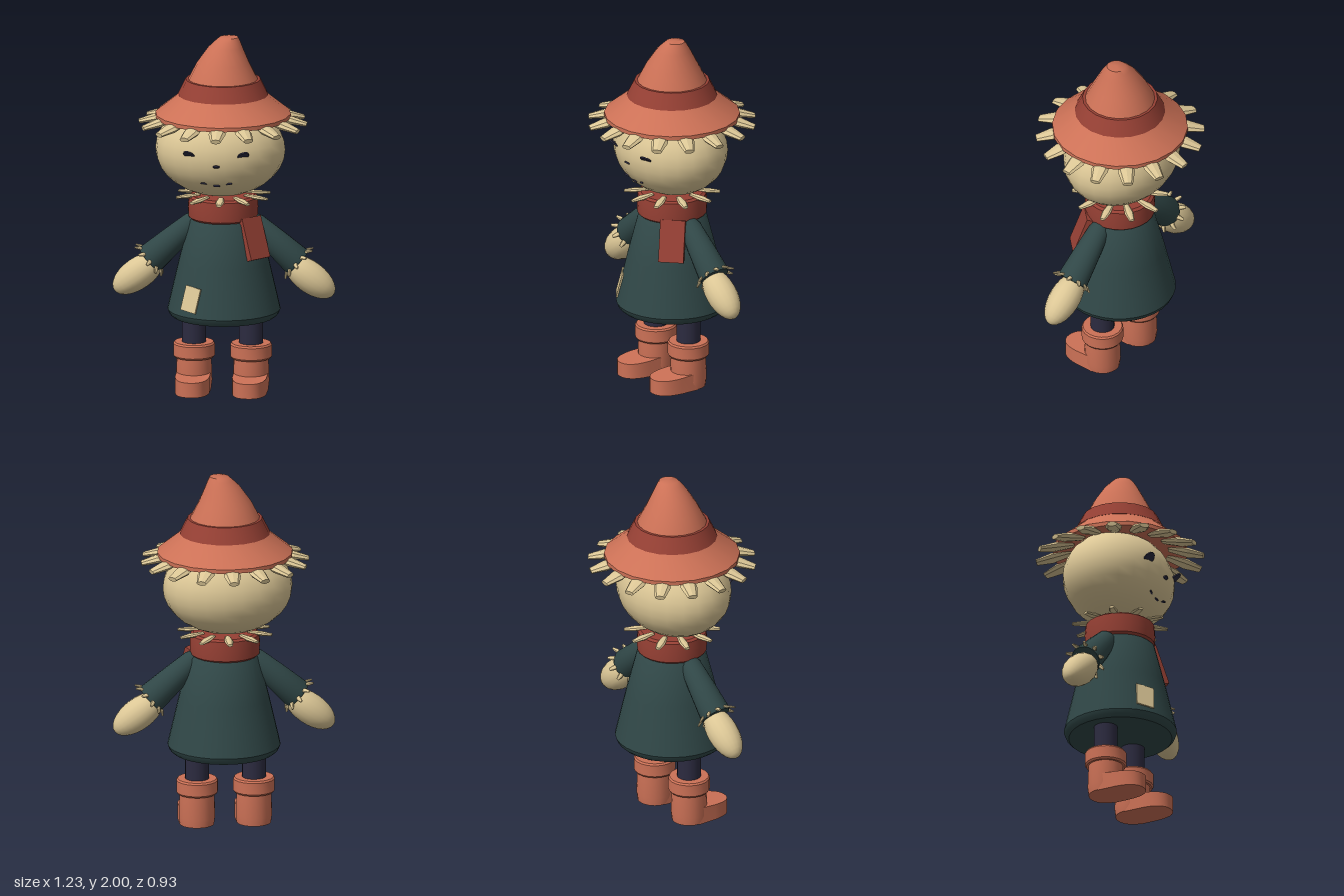
import * as THREE from 'three';
import { toCreasedNormals } from 'three/addons/utils/BufferGeometryUtils.js';

const flat = (name, color) => {
  const m = new THREE.MeshStandardMaterial({ color });
  m.name = name;
  return m;
};

export function createModel() {
  const straw = flat('straw', 0xdcc796);
  const felt = flat('orange felt', 0xcc7156);
  const red = flat('red wool', 0x964034);
  const coat = flat('dark teal cloth', 0x304747);
  const navy = flat('navy', 0x2c2b40);

  const model = new THREE.Group();
  const add = (parent, name, geo, mat, x = 0, y = 0, z = 0) => {
    const mesh = new THREE.Mesh(geo, mat);
    mesh.name = name;
    mesh.position.set(x, y, z);
    parent.add(mesh);
    return mesh;
  };
  const group = (parent, name, x = 0, y = 0, z = 0) => {
    const g = new THREE.Group();
    g.name = name;
    g.position.set(x, y, z);
    parent.add(g);
    return g;
  };
  const lathe = (pts, seg = 20) => toCreasedNormals(
    new THREE.LatheGeometry(pts.map(p => new THREE.Vector2(...p)), seg), 0.6);

  // A straw tuft runs along +z: narrow root, wide middle, blunt tip
  const tuftGeo = lathe([[0, 0], [0.3, 0], [0.5, 0.55], [0.3, 1], [0, 1]], 8);
  tuftGeo.rotateX(Math.PI / 2);
  const tuftRing = (parent, name, count, radius, y, tilt, width, thick, length) => {
    const ring = group(parent, name, 0, y, 0);
    for (let i = 0; i < count; i++) {
      const spoke = group(ring, 'tuftSpoke');
      spoke.rotation.y = i / count * Math.PI * 2;
      const t = add(spoke, 'tuft', tuftGeo, straw, 0, 0, radius);
      t.scale.set(width, thick, length);
      t.rotation.x = tilt;
    }
    return ring;
  };

  // Head
  const head = group(model, 'head', -0.02, 1.365, 0);
  const R = new THREE.Vector3(0.36, 0.265, 0.295);
  add(head, 'face', new THREE.SphereGeometry(1, 22, 16), straw).scale.copy(R);

  // Thin face plates laid along the head's surface
  const plate = (name, x, y, w, h, turn = 0) => {
    const z = R.z * Math.sqrt(1 - (x / R.x) ** 2 - (y / R.y) ** 2);
    const n = new THREE.Vector3(x / R.x ** 2, y / R.y ** 2, z / R.z ** 2).normalize();
    const geo = new THREE.CylinderGeometry(1, 1, 0.008, 16);
    geo.rotateX(Math.PI / 2);
    geo.scale(w, h, 1);
    geo.rotateZ(turn);
    const p = add(head, name, geo, navy, x, y, z);
    p.lookAt(n.add(p.position));
  };
  for (const s of [-1, 1]) plate('eye', s * 0.15, 0.022, 0.031, 0.044);
  plate('nose', 0.003, -0.037, 0.018, 0.012);
  plate('mouthMiddle', 0.0, -0.158, 0.018, 0.005);
  for (const s of [-1, 1]) plate('mouthEnd', s * 0.07, -0.144, 0.018, 0.005, s * 0.5);

  // Hat: brim, band and a crown whose tip leans to the side
  const hat = group(model, 'hat', -0.005, 0, 0);
  add(hat, 'brim', lathe([[0, 1.58], [0.25, 1.56], [0.375, 1.545], [0.375, 1.568],
    [0.26, 1.66], [0.235, 1.685], [0, 1.69]]), felt);
  add(hat, 'band', lathe([[0, 1.672], [0.25, 1.672], [0.242, 1.69],
    [0.207, 1.76], [0, 1.762]]), red);
  const crown = new THREE.LatheGeometry([[0.2, 1.74], [0.192, 1.76], [0.146, 1.85],
    [0.095, 1.94], [0.07, 1.975], [0.052, 1.997], [0, 2]].map(p => new THREE.Vector2(...p)), 20);
  const cp = crown.attributes.position;
  for (let i = 0; i < cp.count; i++) {
    const bend = Math.max(0, cp.getY(i) - 1.9) / 0.1;
    cp.setX(i, cp.getX(i) + 0.033 * bend);
  }
  crown.computeVertexNormals();
  add(hat, 'crown', toCreasedNormals(crown, 0.9), felt);
  tuftRing(hat, 'hairStraw', 16, 0.27, 1.56, 0.25, 0.095, 0.045, 0.2);

  // Neck straw and scarf
  const neck = group(model, 'neck', -0.005, 0, 0);
  tuftRing(neck, 'collarStraw', 10, 0.13, 1.11, 0.08, 0.05, 0.025, 0.135);
  add(neck, 'scarf', lathe([[0, 0.965], [0.175, 0.97], [0.192, 0.985],
    [0.195, 1.04], [0.19, 1.095], [0.175, 1.106], [0, 1.106]], 24), red);
  const tail = add(model, 'scarfTail', new THREE.BoxGeometry(0.14, 0.235, 0.035),
    red, 0.178, 0.887, 0.125);
  tail.rotation.set(-0.34, 0.82, 0, 'YXZ');

  // Coat with a sewn patch
  add(model, 'coat', lathe([[0, 0.42], [0.285, 0.42], [0.302, 0.435], [0.312, 0.46],
    [0.25, 0.73], [0.19, 0.965], [0.16, 0.995], [0, 1]], 32), coat);
  const patch = add(model, 'patch', new THREE.BoxGeometry(0.105, 0.14, 0.009),
    straw, -0.162, 0.56, 0.241);
  patch.rotation.set(-0.24, -0.595, -0.1, 'YXZ');

  // Boot toe: outline with a rounded front, lying on the ground
  const sole = new THREE.Shape();
  sole.moveTo(-0.095, 0);
  sole.lineTo(0.095, 0);
  sole.lineTo(0.095, -0.11);
  sole.bezierCurveTo(0.09, -0.2, 0.055, -0.24, 0, -0.24);
  sole.bezierCurveTo(-0.055, -0.24, -0.09, -0.2, -0.095, -0.11);
  const toeGeo = new THREE.ExtrudeGeometry(sole, { depth: 0.085, bevelEnabled: false, curveSegments: 8 });
  toeGeo.rotateX(-Math.PI / 2);
  const tp = toeGeo.attributes.position;
  for (let i = 0; i < tp.count; i++) {
    if (tp.getY(i) > 0.05) tp.setY(i, 0.098 - 0.06 * tp.getZ(i));
  }
  const toe = toCreasedNormals(toeGeo, 0.6);

  for (const s of [-1, 1]) {
    const side = s > 0 ? 'left' : 'right';

    // Sleeve, cuff straw and hand
    const arm = group(model, side + 'Arm', s * 0.16, 0.955, 0);
    arm.rotation.z = s * 0.83;
    add(arm, 'sleeve', lathe([[0, -0.34], [0.082, -0.34], [0.086, -0.325], [0.074, -0.17],
      [0.06, -0.02], [0.042, 0.025], [0, 0.045]]), coat);
    tuftRing(arm, 'cuffStraw', 10, 0.065, -0.315, 0.6, 0.028, 0.016, 0.06);
    const hand = add(model, side + 'Hand', new THREE.SphereGeometry(1, 18, 14),
      straw, s * 0.475, 0.645, 0);
    hand.scale.set(0.088, 0.165, 0.085);
    hand.rotation.z = s * 0.93;

    // Leg and boot
    const leg = group(model, side + 'Leg', s * 0.158 - 0.008, 0, -0.003);
    add(leg, 'trouser', new THREE.CylinderGeometry(0.066, 0.066, 0.26, 18), navy, 0, 0.34, 0);
    add(leg, 'bootCuff', lathe([[0, 0.18], [0.108, 0.18], [0.115, 0.19], [0.115, 0.256],
      [0.108, 0.266], [0, 0.266]]), felt);
    add(leg, 'bootShaft', lathe([[0, 0.003], [0.095, 0.003], [0.101, 0.05],
      [0.096, 0.19], [0, 0.19]]), felt);
    add(leg, 'bootToe', toe, felt);
  }
  return model;
}
